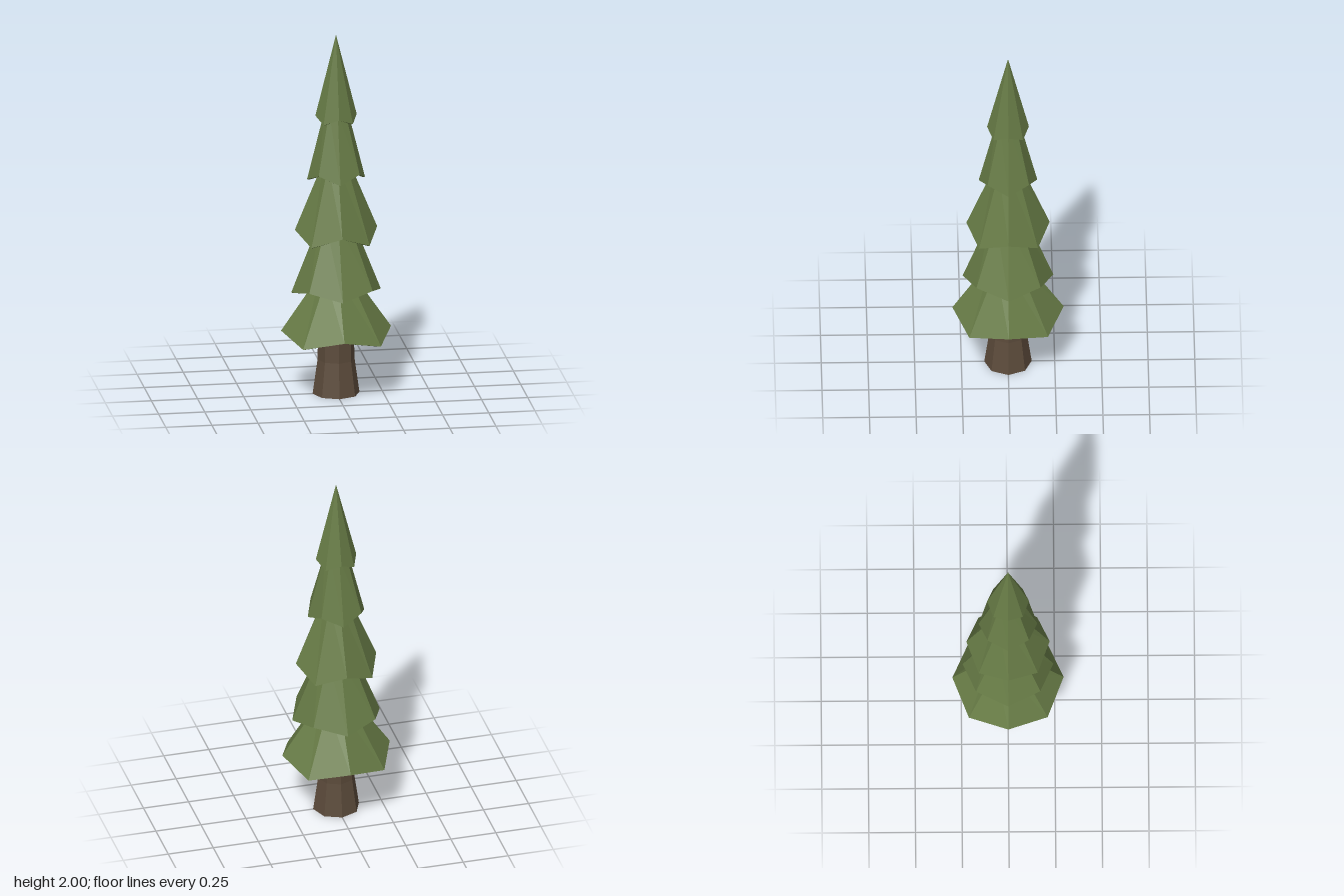
import * as THREE from 'three';

const SIDES = 8;

function flatLathe(name, profile, color, reshape) {
  const lathe = new THREE.LatheGeometry(profile.map(([r, y]) => new THREE.Vector2(r, y)), SIDES);
  if (reshape) reshape(lathe.attributes.position);
  const geometry = lathe.toNonIndexed();
  geometry.computeVertexNormals();
  const material = new THREE.MeshStandardMaterial({ color, flatShading: true });
  const mesh = new THREE.Mesh(geometry, material);
  mesh.name = name;
  return mesh;
}

// A hollow skirt of branches whose rim zigzags between two heights
function branchTier(name, { r, axisY, diagonalY, topR, topY }) {
  const profile = [
    [Math.max(topR - 0.012, 0), topY - 0.02], // inside top
    [r - 0.012, axisY - 0.003],               // inside rim
    [r, axisY],                               // outer rim
    [topR, topY],                             // outer top
    [0, topY],                                // cap
  ];
  return flatLathe(name, profile, 0x667a45, (position) => {
    for (let i = 1; i <= SIDES; i += 2) {
      for (const j of [1, 2]) {
        const k = i * profile.length + j;
        position.setY(k, position.getY(k) + diagonalY - axisY);
      }
    }
  });
}

export function createModel() {
  const tree = new THREE.Group();
  tree.name = 'pineTree';

  // Trunk, flared at the foot
  tree.add(flatLathe('trunk', [[0, 0], [0.127, 0], [0.1, 0.19], [0.094, 0.5], [0, 0.5]], 0x5c4b3b));

  // Branch tiers from the lowest to the tip
  const tiers = [
    { r: 0.298, axisY: 0.36, diagonalY: 0.31, topR: 0.09, topY: 0.66 },
    { r: 0.243, axisY: 0.57, diagonalY: 0.61, topR: 0.09, topY: 0.96 },
    { r: 0.223, axisY: 0.92, diagonalY: 0.86, topR: 0.07, topY: 1.29 },
    { r: 0.157, axisY: 1.2, diagonalY: 1.245, topR: 0.062, topY: 1.58 },
    { r: 0.112, axisY: 1.553, diagonalY: 1.52, topR: 0, topY: 2 },
  ];
  tiers.forEach((tier, i) => tree.add(branchTier(`branchTier${i + 1}`, tier)));

  return tree;
}
